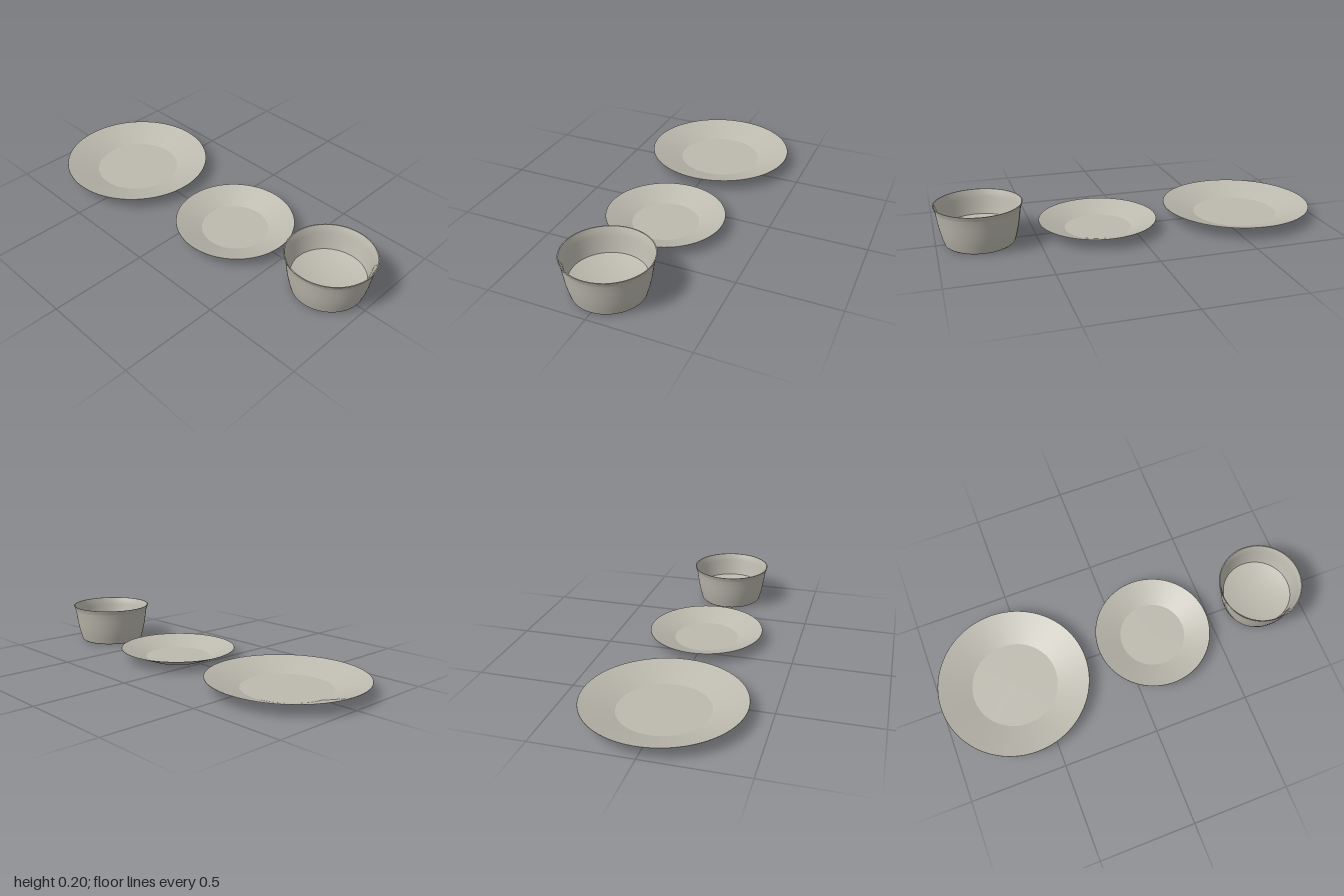
import * as THREE from 'three';
import { mergeGeometries } from 'three/addons/utils/BufferGeometryUtils.js';

const SEGMENTS = 96;

// Revolves each [radius, height] section on its own, so edges between sections stay sharp.
function revolve(sections) {
  return mergeGeometries(sections.map((section) =>
    new THREE.LatheGeometry(section.map(([r, y]) => new THREE.Vector2(r, y)), SEGMENTS)));
}

// Shallow plate: flat foot, straight sloping rim, thin edge, flat well.
function plateGeometry(radius, height, footRadius, wellRadius) {
  const foot = [footRadius, 0];
  const lip = [radius, height - 0.002];
  const edge = [radius - 0.001, height];
  const well = [wellRadius, 0.01];
  return revolve([
    [[0, 0], foot],
    [foot, lip],
    [lip, edge],
    [edge, well],
    [well, [0, 0.01]],
  ]);
}

// Deep bowl: bevelled foot, steep wall with a flared lip, raised and gently dished floor.
function bowlGeometry() {
  const dish = [];
  for (let i = 0; i <= 8; i++) {
    const t = 1 - i / 8;
    dish.push([0.18 * t, 0.052 + 0.028 * t * t]);
  }
  return revolve([
    [[0, 0], [0.167, 0]],
    [[0.167, 0], [0.175, 0.007]],
    [[0.175, 0.007], [0.186, 0.045], [0.195, 0.085], [0.203, 0.135], [0.209, 0.178], [0.213, 0.188], [0.219, 0.205]],
    [[0.219, 0.205], [0.214, 0.205]],
    [[0.214, 0.205], [0.206, 0.185], [0.2, 0.165], [0.191, 0.12], [0.18, 0.08]],
    dish,
  ]);
}

export function createModel() {
  const group = new THREE.Group();
  group.name = 'dinnerware';
  const stoneware = new THREE.MeshStandardMaterial({ color: 0xbcb9ae });
  stoneware.name = 'warm grey stoneware';

  const add = (name, geometry, x) => {
    const mesh = new THREE.Mesh(geometry, stoneware);
    mesh.name = name;
    mesh.position.x = x;
    group.add(mesh);
  };

  add('dinnerPlate', plateGeometry(0.395, 0.065, 0.2, 0.225), -0.605);
  add('sidePlate', plateGeometry(0.306, 0.06, 0.155, 0.172), 0.175);
  add('bowl', bowlGeometry(), 0.781);
  return group;
}
